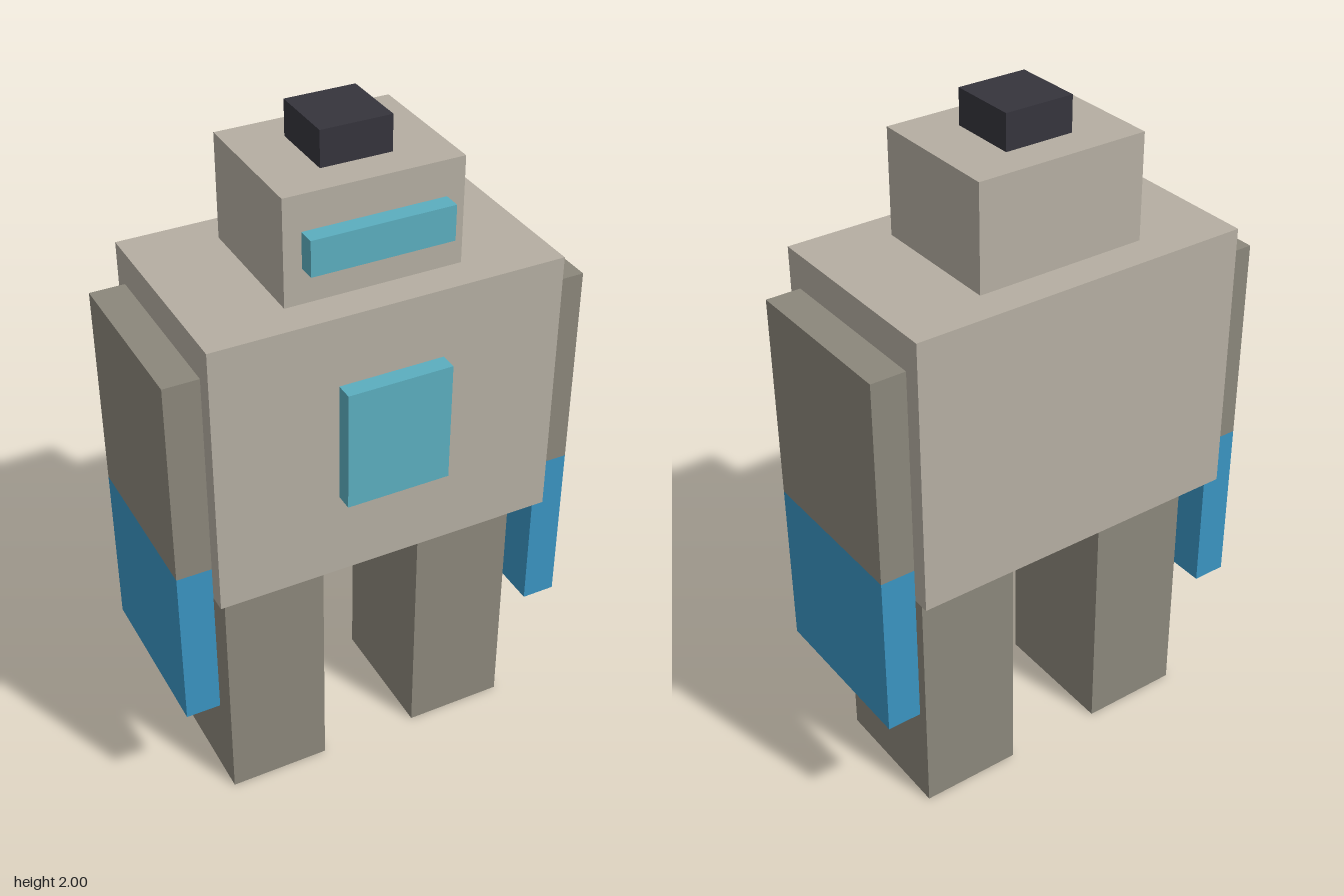
import * as THREE from 'three';

const paint = (name, color) => {
  const material = new THREE.MeshStandardMaterial({ color });
  material.name = name;
  return material;
};

export function createModel() {
  const model = new THREE.Group();
  model.name = 'robot';

  const shell = paint('pale shell', 0xb5aea2);
  const limb = paint('grey limb', 0x8b877b);
  const blue = paint('blue forearm', 0x3a94c2);
  const teal = paint('teal panel', 0x5baebf);
  const dark = paint('dark cap', 0x35343c);

  // Box given by its lower and upper corners
  const block = (name, material, [x0, y0, z0], [x1, y1, z1]) => {
    const mesh = new THREE.Mesh(new THREE.BoxGeometry(x1 - x0, y1 - y0, z1 - z0), material);
    mesh.position.set((x0 + x1) / 2, (y0 + y1) / 2, (z0 + z1) / 2);
    mesh.name = name;
    model.add(mesh);
  };

  // Body and head
  block('torso', shell, [-0.5, 0.8, -0.325], [0.5, 1.6, 0.275]);
  block('chestPanel', teal, [-0.15, 1.05, 0.275], [0.15, 1.4, 0.325]);
  block('head', shell, [-0.25, 1.6, -0.225], [0.25, 1.9, 0.175]);
  block('visor', teal, [-0.2, 1.7, 0.175], [0.2, 1.8, 0.225]);
  block('headCap', dark, [-0.1, 1.9, -0.125], [0.1, 2, 0.075]);

  // Arms and legs, mirrored
  for (const [side, s] of [['left', 1], ['right', -1]]) {
    const pair = (name, material, inner, outer, y0, y1, z0, z1) => {
      const [x0, x1] = s > 0 ? [inner, outer] : [-outer, -inner];
      block(side + name, material, [x0, y0, z0], [x1, y1, z1]);
    };
    pair('UpperArm', limb, 0.5, 0.6, 0.9, 1.5, -0.275, 0.225);
    pair('Forearm', blue, 0.5, 0.6, 0.4, 0.9, -0.275, 0.225);
    pair('Leg', limb, 0.15, 0.45, 0, 0.8, -0.225, 0.175);
  }

  return model;
}
